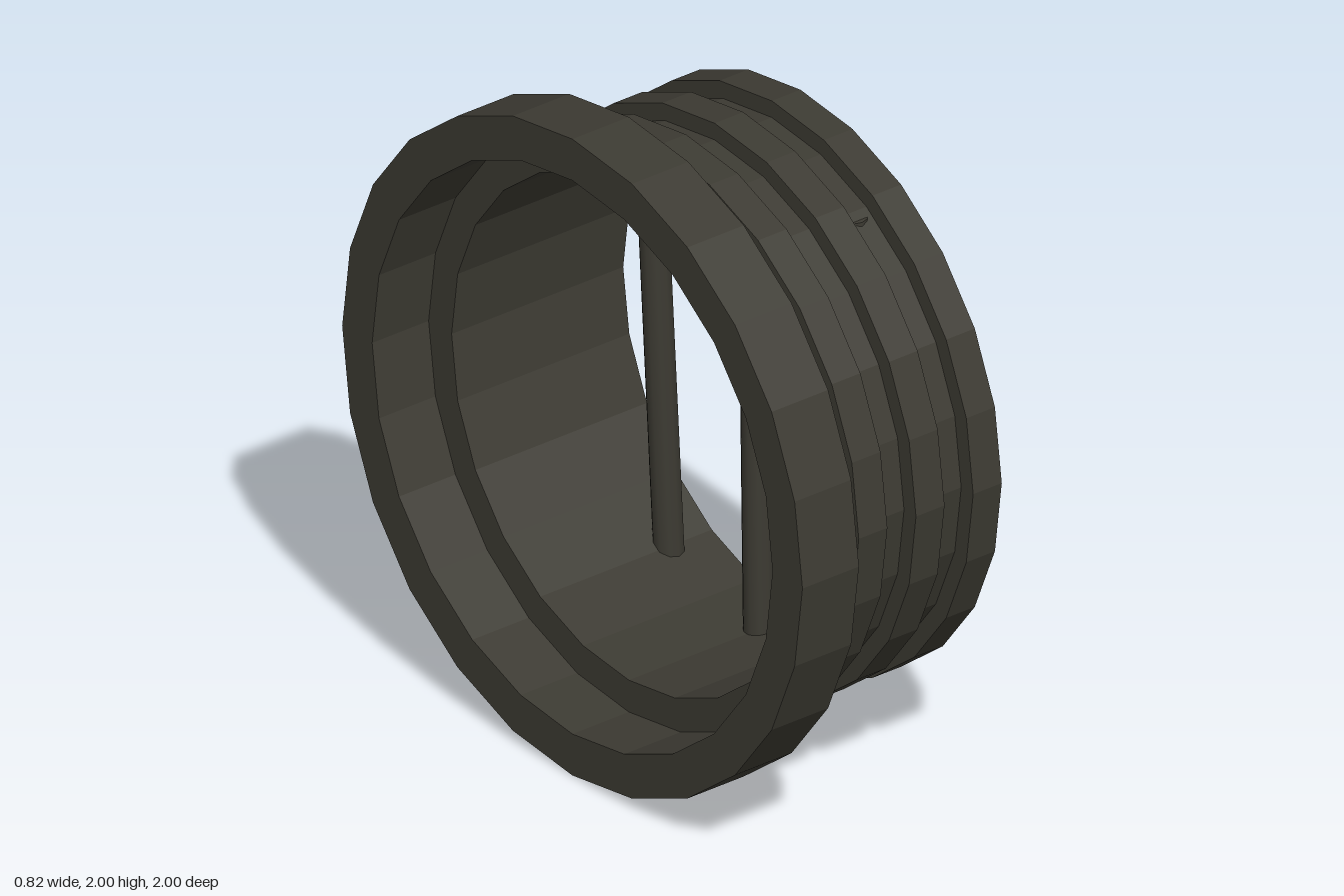
import * as THREE from 'three';

const material = new THREE.MeshStandardMaterial({ color: 0x3d3b33, flatShading: true });
const barMaterial = new THREE.MeshStandardMaterial({ color: 0x3d3b33 });

// Solid ring around the x axis; profile points are [radius, x], outer face running towards +x.
function ring(name, profile) {
  const points = profile.map(([r, x]) => new THREE.Vector2(r, x));
  points.push(points[0].clone());
  const geometry = new THREE.LatheGeometry(points, 24).rotateZ(-Math.PI / 2);
  const mesh = new THREE.Mesh(geometry, material);
  mesh.name = name;
  return mesh;
}

// Upright rod with one bend; each point is [z, y] from bottom to top.
function bentBar(name, points) {
  const geometry = new THREE.CylinderGeometry(0.045, 0.045, 2, 10, 2);
  const position = geometry.attributes.position;
  for (let i = 0; i < position.count; i++) {
    const [z, y] = points[Math.round(position.getY(i)) + 1];
    position.setXYZ(i, position.getX(i) + 0.26, y, position.getZ(i) + z);
  }
  geometry.computeBoundingSphere();
  const mesh = new THREE.Mesh(geometry, barMaterial);
  mesh.name = name;
  return mesh;
}

export function createModel() {
  const group = new THREE.Group();
  group.name = 'barredPipeCollar';

  // Wide flange and grooved sleeve, with a stepped bore
  const profile = [[0.87, -0.41], [1, -0.41], [1, -0.207]];
  const start = -0.207, step = 0.617 / 6;
  for (let i = 0; i < 6; i++) {
    const r = i % 2 ? 0.875 : 0.823;
    profile.push([r, start + i * step], [r, start + (i + 1) * step]);
  }
  profile.push([0.77, 0.41], [0.77, -0.207], [0.87, -0.207]);
  const collar = ring('flangedSleeve', profile);
  collar.position.y = 1;
  group.add(collar);

  // Bent bars across the opening
  group.add(
    bentBar('frontBar', [[0.405, 0.305], [0.447, 0.94], [0.405, 1.695]]),
    bentBar('middleBar', [[0, 0.21], [-0.012, 0.95], [0, 1.79]]),
    bentBar('backBar', [[-0.39, 0.31], [-0.458, 1.35], [-0.387, 1.69]])
  );
  return group;
}
